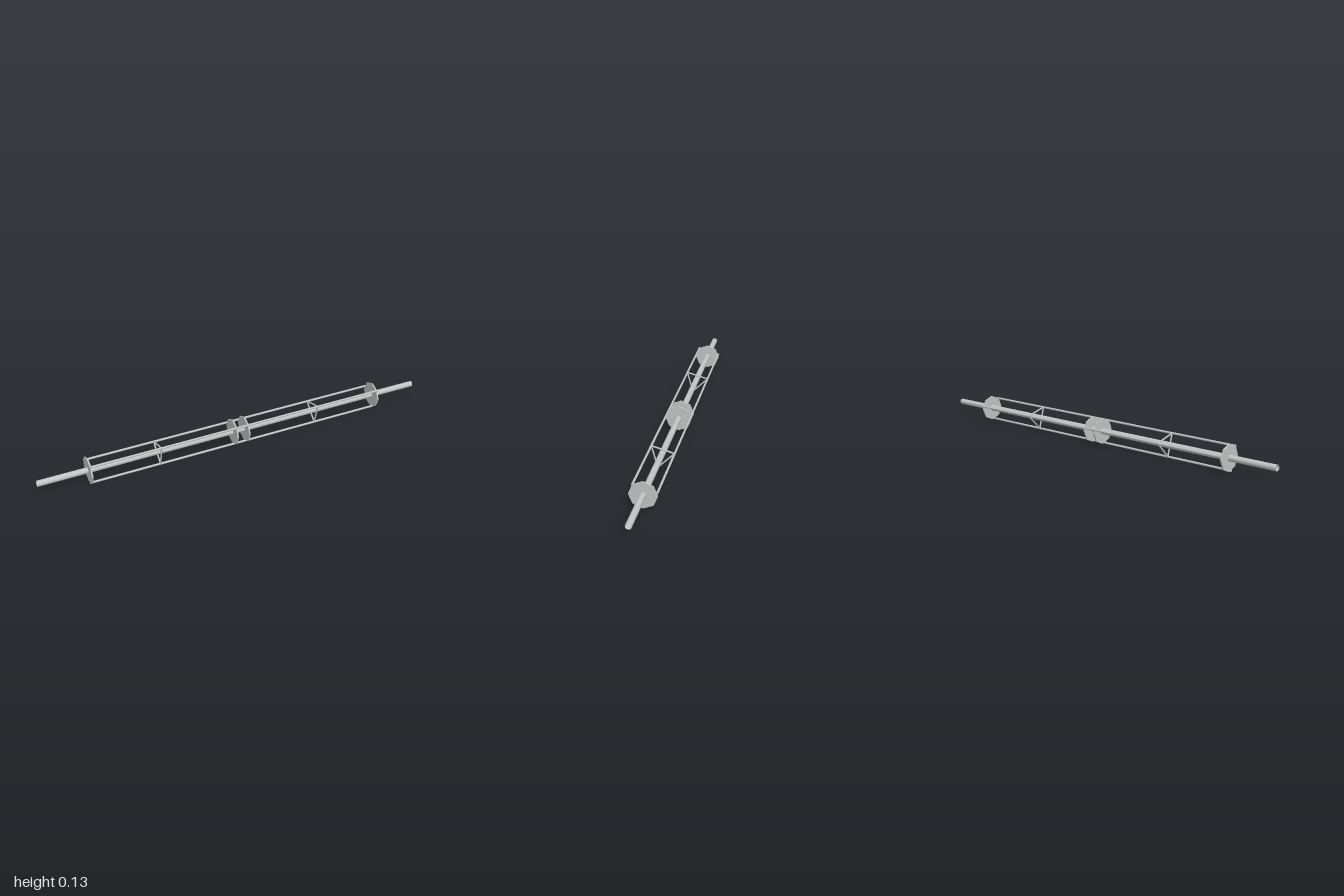
import * as THREE from 'three';

const metal = new THREE.MeshStandardMaterial({ color: 0xc2c3c3, side: THREE.DoubleSide });
metal.name = 'light grey metal';

const AXIS_Y = 0.068, AXIS_Z = 0.001;
const TUBE_R = 0.0145, DISC_R = 0.064, ROD_RING_R = 0.0635;

// Round bar running between two points
function bar(name, a, b, radius, sides, open = false) {
  const dir = b.clone().sub(a);
  const geo = new THREE.CylinderGeometry(radius, radius, dir.length(), sides, 1, open);
  const mesh = new THREE.Mesh(geo, metal);
  mesh.name = name;
  mesh.position.copy(a).add(b).multiplyScalar(0.5);
  mesh.quaternion.setFromUnitVectors(new THREE.Vector3(0, 1, 0), dir.normalize());
  return mesh;
}

// Octagonal plate with a round bore for the central tube
function plateGeometry(thickness) {
  const shape = new THREE.Shape();
  for (let i = 0; i < 8; i++) {
    const a = (i * Math.PI) / 4;
    const x = DISC_R * Math.cos(a), y = DISC_R * Math.sin(a);
    if (i) shape.lineTo(x, y); else shape.moveTo(x, y);
  }
  shape.closePath();
  const bore = new THREE.Path();
  bore.absarc(0, 0, TUBE_R, 0, Math.PI * 2, true);
  shape.holes.push(bore);
  const geo = new THREE.ExtrudeGeometry(shape, { depth: thickness, bevelEnabled: false, curveSegments: 8 });
  geo.translate(0, 0, -thickness / 2);
  geo.rotateY(Math.PI / 2);
  return geo;
}

export function createModel() {
  const model = new THREE.Group();
  model.name = 'rodFrame';
  const frame = new THREE.Group();
  frame.name = 'frame';
  frame.position.set(0, AXIS_Y, AXIS_Z);
  model.add(frame);

  // Hollow central tube
  frame.add(bar('centralTube', new THREE.Vector3(-1, 0, 0), new THREE.Vector3(1, 0, 0), TUBE_R, 20, true));

  // End plates and the middle pair
  const plateGeo = plateGeometry(0.007);
  for (const x of [-0.76, -0.032, 0.03, 0.757]) {
    const plate = new THREE.Mesh(plateGeo, metal);
    plate.name = Math.abs(x) > 0.5 ? 'endPlate' : 'middlePlate';
    plate.position.x = x;
    frame.add(plate);
  }

  // Point on the rod circle, for each of the three rods
  const rodPoint = (i, x) => {
    const a = THREE.MathUtils.degToRad(15 + 120 * i);
    return new THREE.Vector3(x, ROD_RING_R * Math.sin(a), -ROD_RING_R * Math.cos(a));
  };

  // Three long outer rods
  for (let i = 0; i < 3; i++) {
    frame.add(bar('outerRod', rodPoint(i, -0.763), rodPoint(i, 0.76), 0.0055, 8));
  }

  // Triangular braces tying the rods together
  for (const x of [-0.417, 0.413]) {
    const brace = new THREE.Group();
    brace.name = 'triangleBrace';
    for (let i = 0; i < 3; i++) {
      brace.add(bar('braceBar', rodPoint(i, x), rodPoint((i + 1) % 3, x), 0.004, 8));
    }
    frame.add(brace);
  }

  return model;
}
